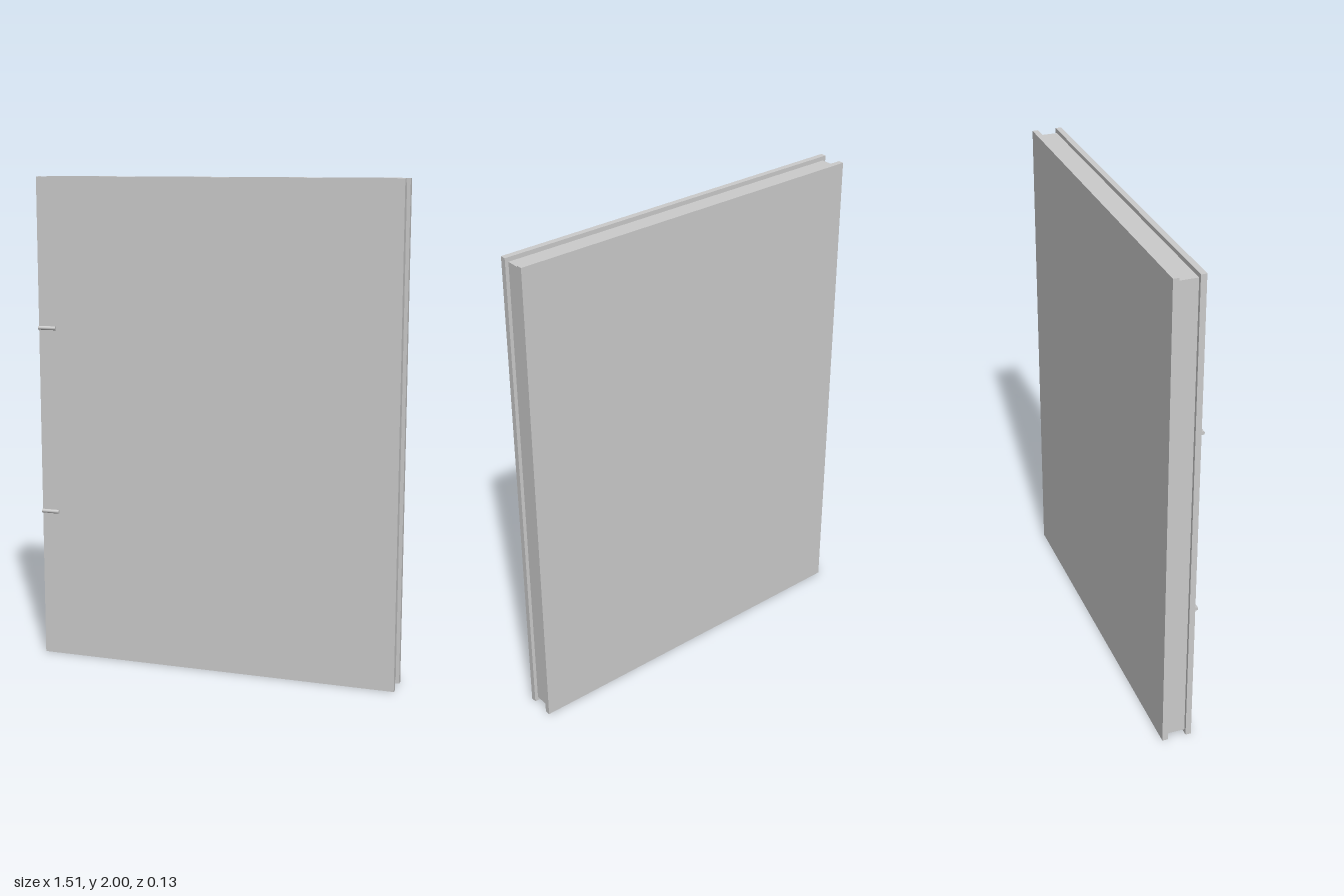
import * as THREE from 'three';

const material = new THREE.MeshStandardMaterial({ color: 0xcccccc });

function addMesh(group, name, geometry, x, y, z) {
  const mesh = new THREE.Mesh(geometry, material);
  mesh.name = name;
  mesh.position.set(x, y, z);
  group.add(mesh);
  return mesh;
}

// Box spanning zBack..zFront, centred on x = 0 and y = 1
function addSlab(group, name, width, height, zBack, zFront) {
  const geometry = new THREE.BoxGeometry(width, height, zFront - zBack);
  return addMesh(group, name, geometry, 0, 1, (zBack + zFront) / 2);
}

export function createModel() {
  const model = new THREE.Group();
  model.name = 'book';

  // Covers overhang the page block on all four edges
  addSlab(model, 'frontCover', 1.51, 2, 0.032, 0.055);
  addSlab(model, 'backCover', 1.51, 2, -0.067, -0.044);
  addSlab(model, 'pageBlock', 1.482, 1.966, -0.044, 0.032);

  // Small round binding pins lying on the front cover at the spine edge
  for (const [name, y] of [['lowerBindingPin', 0.618], ['upperBindingPin', 1.388]]) {
    const pin = new THREE.CylinderGeometry(0.008, 0.008, 0.076, 16);
    pin.rotateZ(Math.PI / 2);
    addMesh(model, name, pin, -0.717, y, 0.059);
  }

  return model;
}
